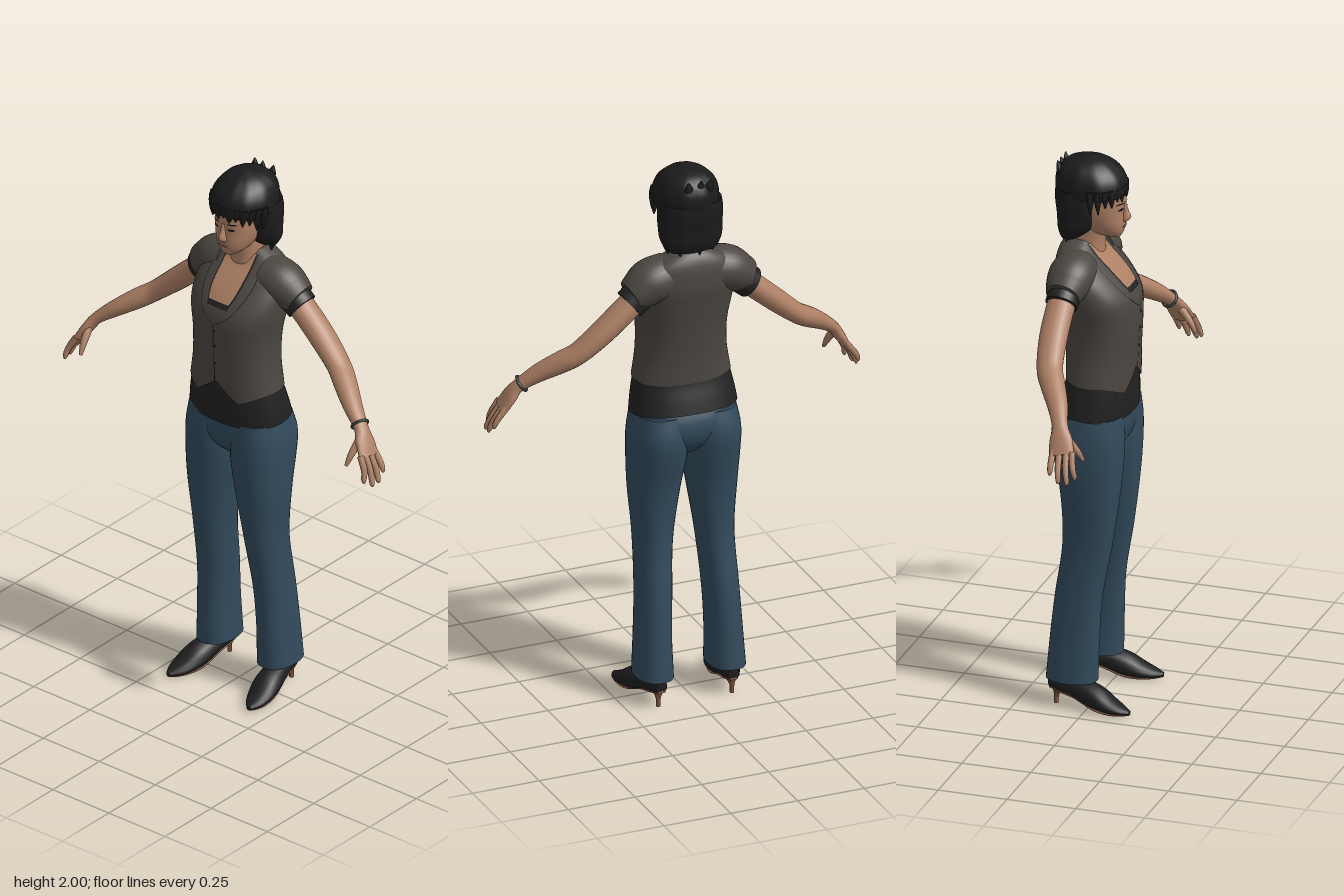
import * as THREE from 'three';

const paint = (name, color) => {
  const m = new THREE.MeshStandardMaterial({ color });
  m.name = name;
  return m;
};

// Smooth interpolation of table rows; the first column is the parameter
function spline(rows) {
  const size = rows[0].length - 1;
  const it = new THREE.CubicInterpolant(rows.map(r => r[0]), rows.flatMap(r => r.slice(1)), size);
  return t => Array.from(it.evaluate(t));
}

function geometry(pos, idx) {
  const g = new THREE.BufferGeometry();
  g.setAttribute('position', new THREE.Float32BufferAttribute(pos, 3));
  g.setIndex(idx);
  g.computeVertexNormals();
  return g;
}

// Closed skin over a list of rings, with sharp end caps
function loft(rings) {
  const n = rings[0].length, pos = rings.flat(2), idx = [];
  for (let i = 0; i < rings.length - 1; i++) for (let j = 0; j < n; j++) {
    const a = i * n + j, b = i * n + (j + 1) % n;
    idx.push(a, b, a + n, b, b + n, a + n);
  }
  for (const [ring, first] of [[rings[0], true], [rings[rings.length - 1], false]]) {
    const base = pos.length / 3;
    pos.push(...ring.flat());
    pos.push(...[0, 1, 2].map(k => ring.reduce((s, p) => s + p[k], 0) / n));
    for (let j = 0; j < n; j++) {
      const a = base + j, b = base + (j + 1) % n;
      idx.push(...(first ? [b, a, base + n] : [a, b, base + n]));
    }
  }
  // Turn the faces outwards when the enclosed volume is negative
  const v = i => new THREE.Vector3().fromArray(pos, idx[i] * 3);
  let volume = 0;
  for (let i = 0; i < idx.length; i += 3) volume += v(i).dot(v(i + 1).cross(v(i + 2)));
  if (volume < 0) for (let i = 0; i < idx.length; i += 3) [idx[i], idx[i + 1]] = [idx[i + 1], idx[i]];
  return geometry(pos, idx);
}

const power = (c, n) => Math.sign(c) * Math.abs(c) ** (2 / n);

// Upright form from rows [y, half width, front z, back z, centre x]
function upright(rows, { steps = 24, seg = 40, n = 2.3, side = 1, warp = p => p, strands = 0 } = {}) {
  const f = spline(rows), y0 = rows[0][0], y1 = rows[rows.length - 1][0], rings = [];
  for (let i = 0; i <= steps; i++) {
    const y = y0 + (y1 - y0) * i / steps, [rx, zf, zb, cx = 0] = f(y);
    rings.push(Array.from({ length: seg }, (_, j) => {
      const a = j / seg * Math.PI * 2, k = 1 + strands * Math.sin(a * 10);
      return warp([side * (cx + k * rx * power(Math.cos(a), n)), y,
        (zf + zb) / 2 + k * (zf - zb) / 2 * power(Math.sin(a), n)]);
    }));
  }
  return loft(rings);
}

// Limb along rows [x, y, z, radius across, radius along 'up']
function limb(rows, { steps = 16, seg = 16, n = 2, side = 1, up = [0, 0, 1] } = {}) {
  const f = spline(rows.map((r, i) => [i, ...r])), last = rows.length - 1, rings = [];
  const at = t => new THREE.Vector3(...f(Math.min(last, Math.max(0, t))).slice(0, 3));
  for (let i = 0; i <= steps; i++) {
    const t = last * i / steps, [x, y, z, ra, rb] = f(t);
    const dir = at(t + 0.1).sub(at(t - 0.1)).normalize();
    const b = new THREE.Vector3(...up).addScaledVector(dir, -dir.dot(new THREE.Vector3(...up))).normalize();
    const c = b.clone().cross(dir);
    rings.push(Array.from({ length: seg }, (_, j) => {
      const a = j / seg * Math.PI * 2;
      const p = new THREE.Vector3(x, y, z).addScaledVector(c, ra * power(Math.cos(a), n))
        .addScaledVector(b, rb * power(Math.sin(a), n));
      return [p.x * side, p.y, p.z];
    }));
  }
  return loft(rings);
}

// Thin patch lying on the front of an upright form, between left(y) and right(y)
function patch(rows, y0, y1, left, right, lift, n = 2.3) {
  const f = spline(rows), pos = [], idx = [], R = 16, C = 8;
  for (let i = 0; i <= R; i++) for (let j = 0; j <= C; j++) {
    const y = y0 + (y1 - y0) * i / R, x = left(y) + (right(y) - left(y)) * j / C, [rx, zf, zb] = f(y);
    const curve = Math.max(0, 1 - (Math.abs(x) / rx) ** n) ** (1 / n);
    pos.push(x, y, (zf + zb) / 2 + (zf - zb) / 2 * curve + lift);
    const a = i * (C + 1) + j;
    if (i < R && j < C) idx.push(a, a + 1, a + C + 1, a + 1, a + C + 2, a + C + 1);
  }
  return geometry(pos, idx);
}

export function createModel() {
  const root = new THREE.Group();
  root.name = 'woman';
  const skin = paint('skin', 0xae8065), vestCloth = paint('vest cloth', 0x4b4640);
  const black = paint('black cloth', 0x212121), denim = paint('denim', 0x324a5c);
  const hair = paint('hair', 0x1b1b1c), leather = paint('shoe leather', 0x1e1e20);
  const tan = paint('sole', 0x7d503b), lip = paint('lips', 0x8c5a4c), metal = paint('bracelet', 0x35403f);
  const add = (name, geo, mat) => {
    const m = new THREE.Mesh(geo, mat);
    m.name = name;
    root.add(m);
    return m;
  };

  // Vest with a pointed front hem
  const torso = [[1.2, .176, .125, -.112], [1.3, .16, .13, -.115], [1.4, .16, .135, -.125],
    [1.5, .176, .128, -.14], [1.56, .18, .09, -.15], [1.61, .172, .045, -.15],
    [1.65, .148, .005, -.145], [1.68, .105, -.015, -.135], [1.7, .06, -.025, -.12]];
  const hem = ([x, y, z]) => {
    const ax = Math.abs(x);
    const drop = z < .02 ? 0 : ax < .09 ? .035 - .07 * ax / .09 : -.035 + .035 * Math.min(1, (ax - .09) / .08);
    return [x, y + drop * Math.max(0, (1.3 - y) / .1), z];
  };
  add('vest', upright(torso, { steps: 36, seg: 64, warp: hem }), vestCloth);

  // Neckline, lapel seams and front closure
  const neckline = spline([[1.5, .03], [1.535, .042], [1.57, .053], [1.64, .058], [1.69, .058]]);
  const w = y => neckline(y)[0];
  add('undershirtTrim', patch(torso, 1.522, 1.69, y => -w(y) - .006, y => w(y) + .006, .003), black);
  add('chest', patch(torso, 1.54, 1.69, y => -w(y), w, .005), skin);
  const lapel = spline([[1.46, 0], [1.49, .045], [1.54, .082], [1.6, .1], [1.67, .09]]);
  for (const s of [-1, 1]) {
    add('lapelSeam', patch(torso, 1.46, 1.67, y => s * lapel(y)[0] - .002, y => s * lapel(y)[0] + .002, .003), black);
  }
  add('frontSeam', patch(torso, 1.24, 1.46, () => -.0015, () => .0015, .003), black);
  for (const y of [1.31, 1.38, 1.44]) add('button', patch(torso, y - .005, y + .005, () => .001, () => .011, .004), black);

  // Undershirt and trousers
  add('undershirt', upright([[1.08, .193, .117, -.139], [1.13, .186, .119, -.127], [1.2, .172, .117, -.108],
    [1.26, .155, .11, -.1]], { steps: 12, seg: 48, warp: ([x, y, z]) => [x, y - .1 * z * Math.max(0, (1.2 - y) / .12), z] }), black);
  add('hips', upright([[.92, .06, .05, -.07], [.96, .14, .09, -.115], [1.01, .188, .107, -.137],
    [1.06, .189, .109, -.135], [1.1, .18, .105, -.12]], { steps: 14 }), denim);
  const leg = [[.1, .066, .03, -.153, .135], [.25, .06, .034, -.14, .132], [.4, .06, .042, -.125, .125],
    [.6, .065, .075, -.1, .115], [.8, .088, .1, -.11, .107], [.92, .099, .11, -.135, .1],
    [1, .099, .111, -.145, .099], [1.08, .092, .105, -.125, .092]];

  // Vest sleeve, shirt sleeve, arm, fingers
  const cap = [[.08, 1.605, -.06, .08, .08], [.14, 1.595, -.062, .08, .083], [.185, 1.572, -.066, .07, .073],
    [.218, 1.555, -.068, .056, .061]];
  const sleeve = [[.13, 1.58, -.066, .06, .06], [.18, 1.56, -.068, .058, .059], [.226, 1.525, -.07, .057, .057]];
  const arm = [[.17, 1.565, -.07, .045, .05], [.23, 1.518, -.071, .043, .05], [.32, 1.44, -.066, .041, .05],
    [.405, 1.367, -.05, .036, .046], [.46, 1.328, -.02, .036, .043], [.525, 1.283, .02, .03, .036],
    [.587, 1.234, .05, .021, .028], [.615, 1.195, .063, .019, .041], [.643, 1.15, .075, .014, .044]];
  const fingers = [[.11, .668, 1.076, .13], [.088, .686, 1.06, .107], [.064, .688, 1.063, .077], [.042, .682, 1.088, .045]];
  const thumb = [[.603, 1.2, .08, .014, .016], [.597, 1.155, .116, .012, .012], [.592, 1.12, .137, .006, .006]];

  // Pointed heeled shoe
  const shoe = [[.135, .078, -.14, .02, .022], [.138, .08, -.1, .033, .035], [.145, .072, -.04, .038, .04],
    [.157, .05, .03, .042, .049], [.168, .03, .085, .028, .046], [.176, .019, .13, .016, .032], [.18, .014, .162, .007, .01]];
  const sole = shoe.map(([x, y, z, ry, rx]) => [x, y - ry * .88, z, Math.min(.005, ry * .2), rx * .75]);

  for (const side of [-1, 1]) {
    add('trouserLeg', upright(leg, { side, steps: 30, seg: 32 }), denim);
    add('vestSleeve', limb(cap, { side, seg: 28 }), vestCloth);
    add('shirtSleeve', limb(sleeve, { side, seg: 28 }), black);
    add('arm', limb(arm, { side, steps: 32, seg: 20 }), skin);
    for (const [z, x1, y1, z1] of fingers) {
      add('finger', limb([[.635, 1.163, z, .012, .012], [(.652 + x1) / 2, (1.16 + y1) / 2, (z + z1) / 2, .011, .011],
        [x1 - .002, y1 + .012, z1, .009, .009], [x1, y1, z1, .004, .004]], { side, steps: 8, seg: 8 }), skin);
    }
    add('thumb', limb(thumb, { side, steps: 8, seg: 8 }), skin);
    add('shoe', limb(shoe, { side, steps: 20, up: [1, 0, 0] }), leather);
    add('sole', limb(sole, { side, steps: 20, up: [1, 0, 0] }), tan);
    add('heel', limb([[.137, .06, -.112, .022, .022], [.138, .03, -.117, .009, .009], [.138, 0, -.118, .008, .008]],
      { side, steps: 8, seg: 10 }), tan);
  }

  // Bracelet on the left wrist
  const bracelet = add('bracelet', new THREE.TorusGeometry(.029, .005, 8, 24), metal);
  bracelet.position.set(.579, 1.241, .046);
  bracelet.quaternion.setFromUnitVectors(new THREE.Vector3(0, 0, 1), new THREE.Vector3(.062, -.05, .03).normalize());

  // Neck, head and face
  add('neck', upright([[1.6, .07, .015, -.115], [1.68, .055, .01, -.11], [1.78, .052, .025, -.095]], { steps: 10, seg: 28 }), skin);
  const head = [[1.712, .022, .068, .01], [1.725, .042, .076, -.03], [1.755, .062, .083, -.07], [1.8, .075, .083, -.1],
    [1.85, .08, .084, -.12], [1.9, .08, .078, -.12], [1.95, .06, .05, -.1]];
  add('head', upright(head, { steps: 28 }), skin);
  add('nose', upright([[1.768, .008, .088, .072], [1.776, .016, .1, .072], [1.786, .014, .106, .072],
    [1.81, .009, .097, .07], [1.84, .007, .087, .07]], { steps: 12, seg: 14, n: 2 }), skin);
  const oval = (name, x, y, hw, hh, mat) => {
    const half = v => hw * Math.sqrt(Math.max(0, 1 - ((v - y) / hh) ** 2));
    add(name, patch(head, y - hh, y + hh, v => x - half(v), v => x + half(v), .003), mat);
  };
  oval('mouth', 0, 1.754, .023, .007, lip);
  for (const s of [-1, 1]) {
    oval('eye', s * .032, 1.822, .013, .005, hair);
    oval('eyebrow', s * .034, 1.843, .018, .003, hair);
  }

  // Hair: crown, long back, fringe locks and ragged ends
  add('hairCrown', upright([[1.87, .113, .088, -.16], [1.9, .113, .09, -.162], [1.94, .102, .075, -.155],
    [1.97, .08, .045, -.135], [1.99, .047, .01, -.1], [2, .012, -.025, -.055]], { seg: 80, n: 2.1, strands: .012 }), hair);
  add('hairBack', upright([[1.71, .088, -.06, -.136], [1.74, .107, -.022, -.146], [1.8, .114, .003, -.152],
    [1.86, .114, .012, -.16], [1.89, .11, .015, -.158]], { seg: 80, strands: .014 }), hair);
  const lock = (x0, y0, z0, x1, y1, z1, r) => add('hairLock', limb([[x0, y0, z0, r * .6, r],
    [(x0 + x1) / 2, (y0 + y1) / 2, (z0 + z1) / 2, r * .55, r * .9], [x1, y1, z1, .002, .002]],
  { steps: 6, seg: 8, up: [1, 0, .01] }), hair);
  for (let i = -6; i <= 6; i++) {
    const a = i * .22, x = .106 * Math.sin(a), z = -.034 + .118 * Math.cos(a);
    lock(x, 1.905, z - .004, x * 1.02, 1.862 - .012 * (i & 1) - .0012 * i * i, z, .019);
  }
  for (let i = 0; i < 12; i++) {
    const a = Math.PI * (i / 11), x = .088 * Math.cos(a), z = -.075 - .055 * Math.sin(a);
    lock(x, 1.77, z, x * .95, 1.695 + .012 * (i % 3), z, .02);
  }
  for (const x of [-.04, -.01, .03]) lock(x, 1.93, -.135, x * 1.2, 1.982, -.145, .018);
  return root;
}
